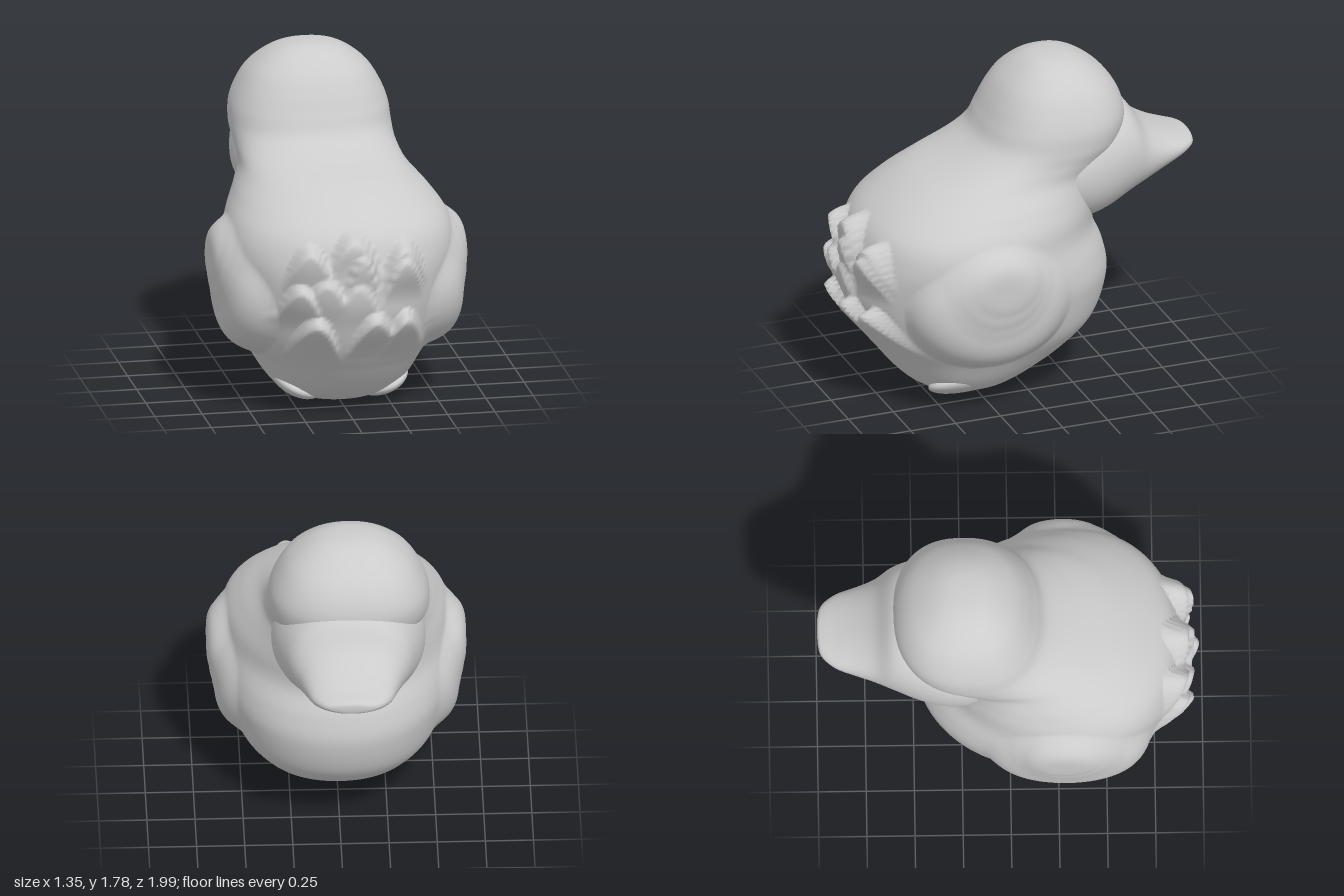
import * as THREE from 'three';

const material = new THREE.MeshStandardMaterial({ color: 0xcccccc });
const { smoothstep, clamp } = THREE.MathUtils;

// Smooth value between rows of numbers (Catmull-Rom per column)
function sampleRows(rows, t) {
  const f = t * (rows.length - 1);
  const i = Math.min(Math.floor(f), rows.length - 2), u = f - i;
  const at = (k) => rows[clamp(k, 0, rows.length - 1)];
  return rows[i].map((_, c) => {
    const a = at(i - 1)[c], b = at(i)[c], d = at(i + 1)[c], e = at(i + 2)[c];
    return b + 0.5 * u * (d - a + u * (2 * a - 5 * b + 4 * d - e + u * (3 * (b - d) + e - a)));
  });
}

// Closed skin over cross-sections; place(row, cos, sin) gives a point
function loft(rows, rings, sides, place) {
  const pos = [], index = [];
  for (let i = 0; i <= rings; i++) {
    const row = sampleRows(rows, i / rings);
    for (let j = 0; j < sides; j++) {
      const a = (j / sides) * Math.PI * 2;
      pos.push(...place(row, Math.cos(a), Math.sin(a)));
    }
  }
  for (let i = 0; i < rings; i++) {
    for (let j = 0; j < sides; j++) {
      const a = i * sides + j, c = i * sides + ((j + 1) % sides);
      index.push(a, a + sides, c, c, a + sides, c + sides);
    }
  }
  const g = new THREE.BufferGeometry();
  g.setAttribute('position', new THREE.Float32BufferAttribute(pos, 3));
  g.setIndex(index);
  g.computeVertexNormals();
  return g;
}

const power = (v, e) => Math.sign(v) * Math.abs(v) ** e;
const softMax = (a, b, k) => {
  const h = Math.max(0, k - Math.abs(a - b)) / k;
  return Math.max(a, b) + (h * h * k) / 4;
};

// Wing layers: centre y, z, radius y, z, base x, thickness
const wingLayers = [
  [0.64, 0.29, 0.37, 0.45, 0.36, 0.28],
  [0.69, 0.29, 0.34, 0.4, 0.36, 0.292],
  [0.73, 0.29, 0.3, 0.35, 0.36, 0.305],
  [0.77, 0.28, 0.25, 0.3, 0.36, 0.315],
];

// Sideways reach of the wing at a point of the flank
function wingReach(y, z) {
  let reach = 0;
  for (const [cy, cz, ry, rz, x, thick] of wingLayers) {
    const r = Math.hypot((y - cy) / ry, (z - cz) / rz);
    if (r < 1) reach = Math.max(reach, x + thick * Math.sqrt(1 - r ** 4));
  }
  return reach;
}

// Tail feathers: tip x, tip y, half width, lift
const feathers = [
  [-0.25, 0.98, 0.11, 0.1], [-0.02, 1.04, 0.12, 0.1], [0.25, 0.98, 0.11, 0.1],
  [-0.3, 0.78, 0.1, 0.09], [-0.17, 0.82, 0.11, 0.07], [0.02, 0.96, 0.07, 0.1],
  [0, 0.8, 0.1, 0.05], [0.25, 0.93, 0.09, 0.12],
  [-0.22, 0.6, 0.11, 0.1], [0.09, 0.62, 0.11, 0.09], [0.26, 0.61, 0.1, 0.1],
];

// Backward lift of the feathers: pointed at the tip, fading at the root
function featherLift(x, y) {
  let lift = 0;
  for (const [fx, tip, w, height] of feathers) {
    const u = (x - fx) / w, v = (tip - y) / 0.26;
    const edge = Math.sqrt(clamp((v - u * u * 0.6) * 7, 0, 1));
    lift = Math.max(lift, height * edge * (1 - smoothstep(v, 0, 1.1)));
  }
  return lift;
}

export function createModel() {
  const group = new THREE.Group();
  const add = (name, geometry) => {
    const mesh = new THREE.Mesh(geometry, material);
    mesh.name = name;
    group.add(mesh);
    return mesh;
  };

  // Body and head: height, tail-side z, beak-side z, half width, centre x
  const body = [
    [0, 0.27, 0.27, 0, 0], [0.005, 0.36, 0.17, 0.1, 0], [0.03, 0.47, 0.09, 0.2, 0],
    [0.08, 0.57, 0, 0.31, 0], [0.15, 0.65, -0.13, 0.38, 0], [0.26, 0.74, -0.3, 0.45, 0],
    [0.4, 0.84, -0.43, 0.53, 0], [0.6, 0.91, -0.49, 0.58, 0], [0.75, 0.91, -0.47, 0.6, 0],
    [0.88, 0.88, -0.42, 0.595, 0], [1, 0.83, -0.43, 0.565, 0], [1.1, 0.72, -0.46, 0.505, -0.01],
    [1.2, 0.55, -0.51, 0.435, -0.03], [1.28, 0.34, -0.55, 0.42, -0.045],
    [1.36, 0.2, -0.585, 0.42, -0.05], [1.46, 0.14, -0.605, 0.41, -0.05],
    [1.56, 0.09, -0.58, 0.37, -0.05], [1.65, 0.03, -0.52, 0.31, -0.05],
    [1.73, -0.06, -0.42, 0.21, -0.05], [1.77, -0.14, -0.33, 0.11, -0.05],
    [1.78, -0.235, -0.235, 0, -0.05],
  ];
  // Wings and tail feathers are raised out of the same skin
  add('bodyWithWingsAndTail', loft(body, 200, 220, ([y, back, front, w, cx], c, s) => {
    const e = 0.93 - 0.08 * smoothstep(y, 1.1, 1.4);
    const taper = 0.14 * smoothstep(y, 0.6, 0.95) * (1 - smoothstep(y, 1.1, 1.35));
    let x = w * power(c, e) * (1 + taper * s);
    let z = (back + front) / 2 + ((back - front) / 2) * power(s, e);
    const reach = wingReach(y, z);
    if (reach > 0) x = Math.sign(c) * softMax(Math.abs(x), reach, 0.05);
    if (s > 0) z += featherLift(x, y) * smoothstep(s, 0, 0.5);
    return [cx + x, y, z];
  }));

  // Broad beak growing out of the cheeks: z, top, bottom, half width
  const beak = [
    [0.05, 1.2, 1.2, 0], [-0.05, 1.35, 1.03, 0.3], [-0.18, 1.44, 0.9, 0.385],
    [-0.32, 1.49, 0.86, 0.4], [-0.46, 1.51, 0.885, 0.375], [-0.6, 1.48, 0.95, 0.325],
    [-0.7, 1.36, 1.0, 0.275], [-0.8, 1.29, 1.055, 0.24], [-0.9, 1.245, 1.11, 0.205],
    [-0.97, 1.225, 1.145, 0.15], [-0.995, 1.215, 1.16, 0.09], [-1, 1.19, 1.19, 0],
  ];
  add('beak', loft(beak, 66, 64, ([z, top, bottom, w], c, s) => [
    -0.045 + w * power(c, 0.9), (top + bottom) / 2 + ((top - bottom) / 2) * power(s, 0.95), z,
  ]));

  // Tucked feet
  const foot = new THREE.SphereGeometry(1, 40, 28);
  for (const side of [-1, 1]) {
    const mesh = add(side > 0 ? 'leftFoot' : 'rightFoot', foot);
    mesh.position.set(side * 0.22, 0.105, 0.3);
    mesh.scale.set(0.15, 0.065, 0.25);
    mesh.rotation.set(0, side * 0.15, side * 0.45);
  }

  return group;
}
